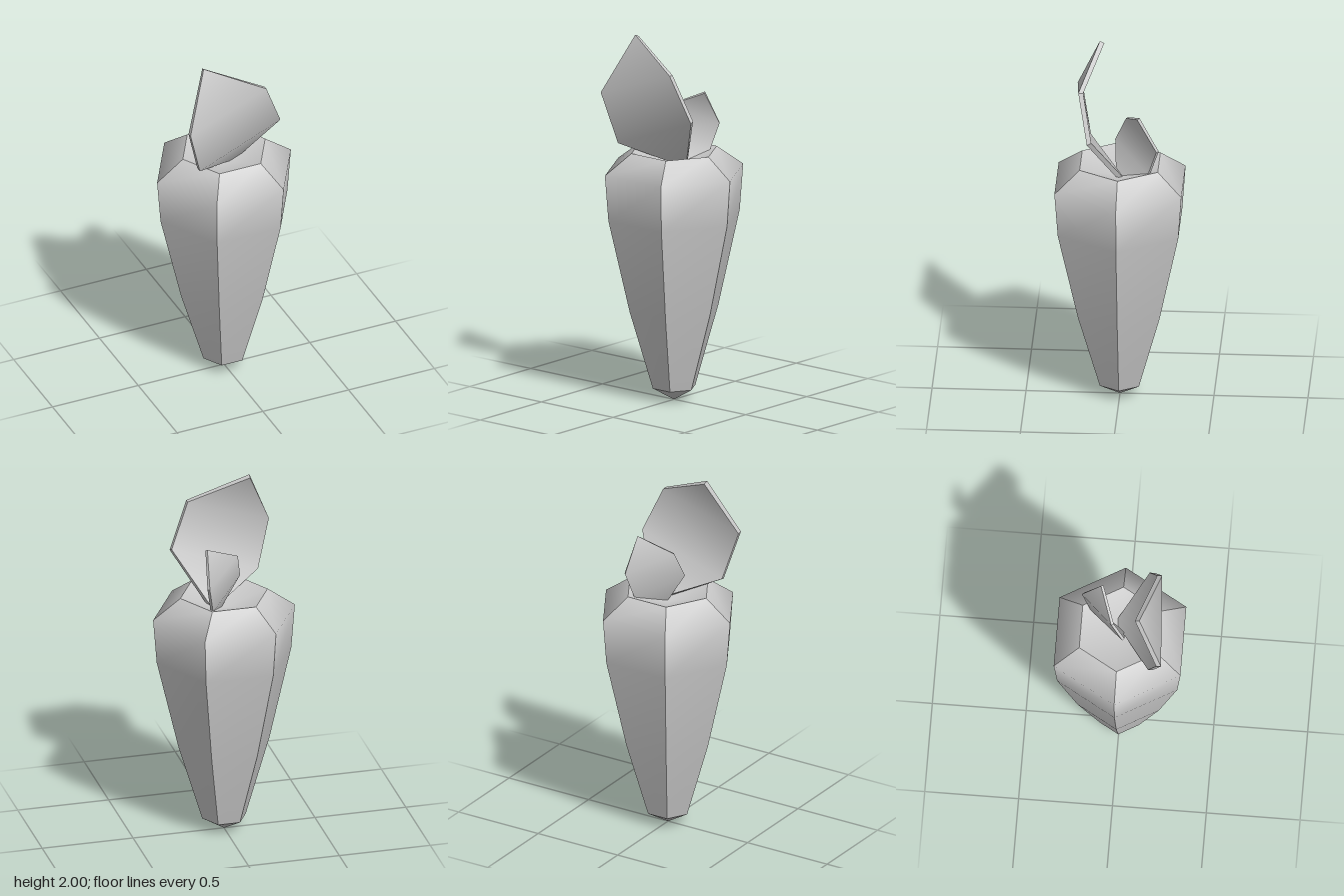
import * as THREE from 'three';

const material = new THREE.MeshStandardMaterial({ color: 0xcccccc, side: THREE.DoubleSide });
const SIDES = 6;

// Indexed surface: shared corners shade smoothly, separate corners stay sharp
function surface(name, points, index) {
  const geometry = new THREE.BufferGeometry();
  geometry.setAttribute('position', new THREE.Float32BufferAttribute(points.flat(), 3));
  geometry.setIndex(index);
  geometry.computeVertexNormals();
  const mesh = new THREE.Mesh(geometry, material);
  mesh.name = name;
  return mesh;
}

const corner = (i, r, y) => {
  const a = (i / SIDES) * Math.PI * 2;
  return [r * Math.cos(a), y, -r * Math.sin(a)];
};

// Six panels, smooth along their length and sharp between neighbours
function rootBody() {
  const profile = [[0.12, 0.07], [0.25, 0.5], [0.37, 1.01], [0.39, 1.26], [0.24, 1.37]];
  const points = [], index = [];
  for (let i = 0; i < SIDES; i++) {
    profile.forEach(([r, y], j) => {
      const k = points.length;
      points.push(corner(i, r, y), corner(i + 1, r, y));
      if (j < profile.length - 1) index.push(k, k + 1, k + 3, k, k + 3, k + 2);
    });
  }
  return surface('rootBody', points, index);
}

// Shallow six-sided cone closing one end of the root
function endCone(name, r, rimY, centreY, facesUp) {
  const points = [[0, centreY, 0]], index = [];
  for (let i = 0; i < SIDES; i++) {
    points.push(corner(i, r, rimY));
    const a = i + 1, b = ((i + 1) % SIDES) + 1;
    index.push(0, ...(facesUp ? [a, b] : [b, a]));
  }
  return surface(name, points, index);
}

// Folded six-cornered leaf; outline runs counterclockwise from the tip
function leaf(name, outline, thickness) {
  const front = [0, 1, 5, 1, 2, 5, 2, 4, 5, 2, 3, 4];
  const normals = surface('', outline, front).geometry.attributes.normal;
  const shifted = (d) => outline.map((p, i) => {
    const n = new THREE.Vector3().fromBufferAttribute(normals, i);
    return new THREE.Vector3(...p).addScaledVector(n, d).toArray();
  });
  const f = shifted(thickness / 2), b = shifted(-thickness / 2);
  const points = [...f, ...b];
  const index = [...front, ...front.map((i) => i + 6).reverse()];
  // Narrow rim with its own corners
  for (let i = 0; i < 6; i++) {
    const j = (i + 1) % 6, k = points.length;
    points.push(f[i], b[i], b[j], f[j]);
    index.push(k, k + 1, k + 2, k, k + 2, k + 3);
  }
  return surface(name, points, index);
}

export function createModel() {
  const group = new THREE.Group();
  group.name = 'rootVegetable';
  group.add(
    rootBody(),
    endCone('rootTip', 0.12, 0.07, 0, false),
    endCone('crownHollow', 0.24, 1.37, 1.29, true),
    leaf('largeLeaf', [
      [-0.17, 1.99, 0.105], [-0.305, 1.68, 0.23], [-0.23, 1.41, 0.18],
      [0.07, 1.29, -0.02], [0.253, 1.59, 0.15], [0.15, 1.84, 0.2],
    ], 0.026),
    leaf('smallLeaf', [
      [0.125, 1.685, -0.105], [-0.06, 1.6, -0.035], [-0.088, 1.46, 0.025],
      [0.02, 1.285, 0.015], [0.11, 1.35, -0.16], [0.14, 1.5, -0.208],
    ], 0.016),
  );
  return group;
}
